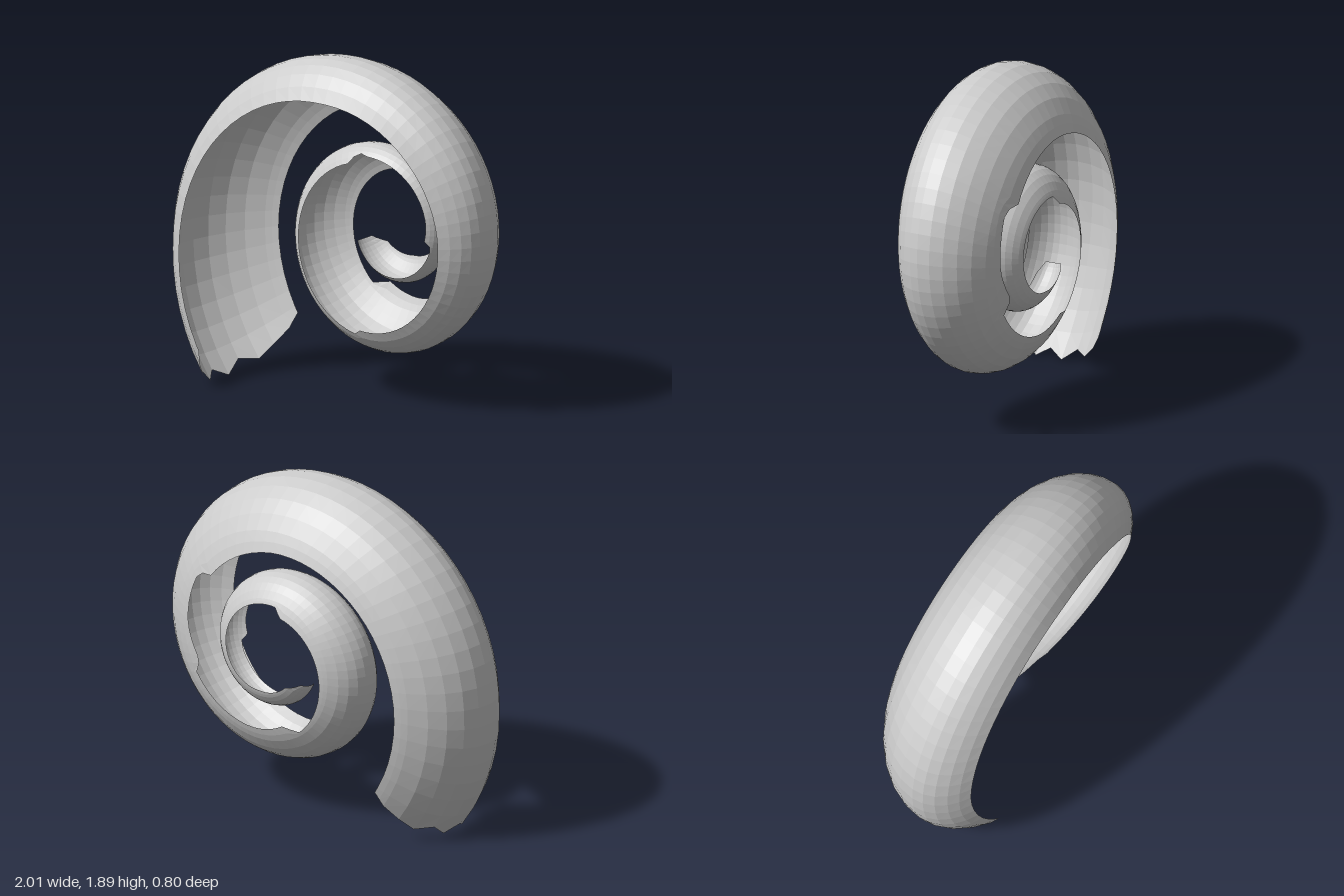
import * as THREE from 'three';

const RAD = Math.PI / 180;
const RINGS = 130, ARC = 12, TURN = 737;

// piecewise-linear lookup in a short list of [position, value]
function lookup(table, p) {
  for (let i = 1; i < table.length; i++) {
    const [p0, v0] = table[i - 1], [p1, v1] = table[i];
    if (p <= p1) return v0 + (v1 - v0) * (p - p0) / (p1 - p0);
  }
  return table[table.length - 1][1];
}

// the section is two quarter-ellipses meeting at the crest
const FRONT = { width: 0.31, depth: 0.46 }, BACK = { width: 0.45, depth: 0.61 };

// depth of each rim below the crest along the winding, in section sizes;
// the sudden changes are the notches in the rims
const FRONT_RIM = [[0, 0.19], [37, 0.18], [128, 0.226], [218, 0.21], [312, 0.21], [316, 0.155],
  [398, 0.18], [472, 0.2], [479, 0.09], [488, 0.13], [575, 0.167], [590, 0.19], [596, 0.1],
  [668, 0.11], [720, 0.1], [737, 0.03]];
const BACK_RIM = [[0, 0.318], [37, 0.318], [128, 0.366], [178, 0.41], [183, 0.33], [218, 0.37],
  [242, 0.44], [248, 0.34], [308, 0.36], [337, 0.39], [344, 0.28], [398, 0.33], [472, 0.4],
  [482, 0.31], [578, 0.33], [668, 0.38], [720, 0.3], [737, 0.1]];

const rimAngle = (half, depth) => Math.acos(1 - depth / half.depth) / RAD;

// angle of column j: an even middle, with two columns stretching to each rim
function columnAngle(j, front, back) {
  const lo = Math.max(front, -34), hi = Math.min(back, 54);
  if (j === 0) return front;
  if (j === ARC) return back;
  if (j === 1) return (front + lo) / 2;
  if (j === ARC - 1) return (hi + back) / 2;
  return lo + (hi - lo) * (j - 2) / (ARC - 4);
}

// point on the shell: p = degrees wound from the wide mouth, a = angle from the crest
function shellPoint(p, a) {
  const r = 1.296 * Math.exp(-0.119 * p * RAD) + 0.02 * Math.max(0, 1 - p / 37);
  const s = r < 0.9 ? r : 0.9 + (r - 0.9) * 0.5;            // section size
  const crestZ = Math.min(-0.325 + 0.34 * r, -0.39 + 0.42 * r);
  const half = a < 0 ? FRONT : BACK;
  const inner = r - half.depth * (1 - Math.cos(a * RAD)) * s;
  const t = (225 - p) * RAD;
  return [
    0.187 + inner * Math.cos(t),
    0.937 + 0.976 * inner * Math.sin(t),
    crestZ - half.width * Math.sin(a * RAD) * s,
  ];
}

// ragged mouth: slanted towards both rims, small teeth between them
function mouthOffset(j) {
  if (j < 2) return 3.5 - 2 * j;
  if (j > 8) return -1.4 + 1.2 * (j - 8);
  return j % 2 ? 1.3 : -1.3;
}

function spiralShell() {
  const pos = [], index = [];
  for (let i = 0; i <= RINGS; i++) {
    const p = TURN * i / RINGS;
    const front = -rimAngle(FRONT, lookup(FRONT_RIM, p));
    const back = rimAngle(BACK, lookup(BACK_RIM, p));
    for (let j = 0; j <= ARC; j++) {
      pos.push(...shellPoint(i ? p : mouthOffset(j), columnAngle(j, front, back)));
      if (i < RINGS && j < ARC) {
        const a = i * (ARC + 1) + j, b = a + 1, c = a + ARC + 1, d = c + 1;
        index.push(a, b, c, b, d, c);
      }
    }
  }
  const g = new THREE.BufferGeometry();
  g.setAttribute('position', new THREE.Float32BufferAttribute(pos, 3));
  g.setIndex(index);
  g.computeVertexNormals();
  return g;
}

export function createModel() {
  const group = new THREE.Group();
  group.name = 'spiralShell';
  const material = new THREE.MeshStandardMaterial({
    color: 0xcccccc, flatShading: true, side: THREE.DoubleSide,
  });
  const shell = new THREE.Mesh(spiralShell(), material);
  shell.name = 'openSpiralBand';
  group.add(shell);
  return group;
}
